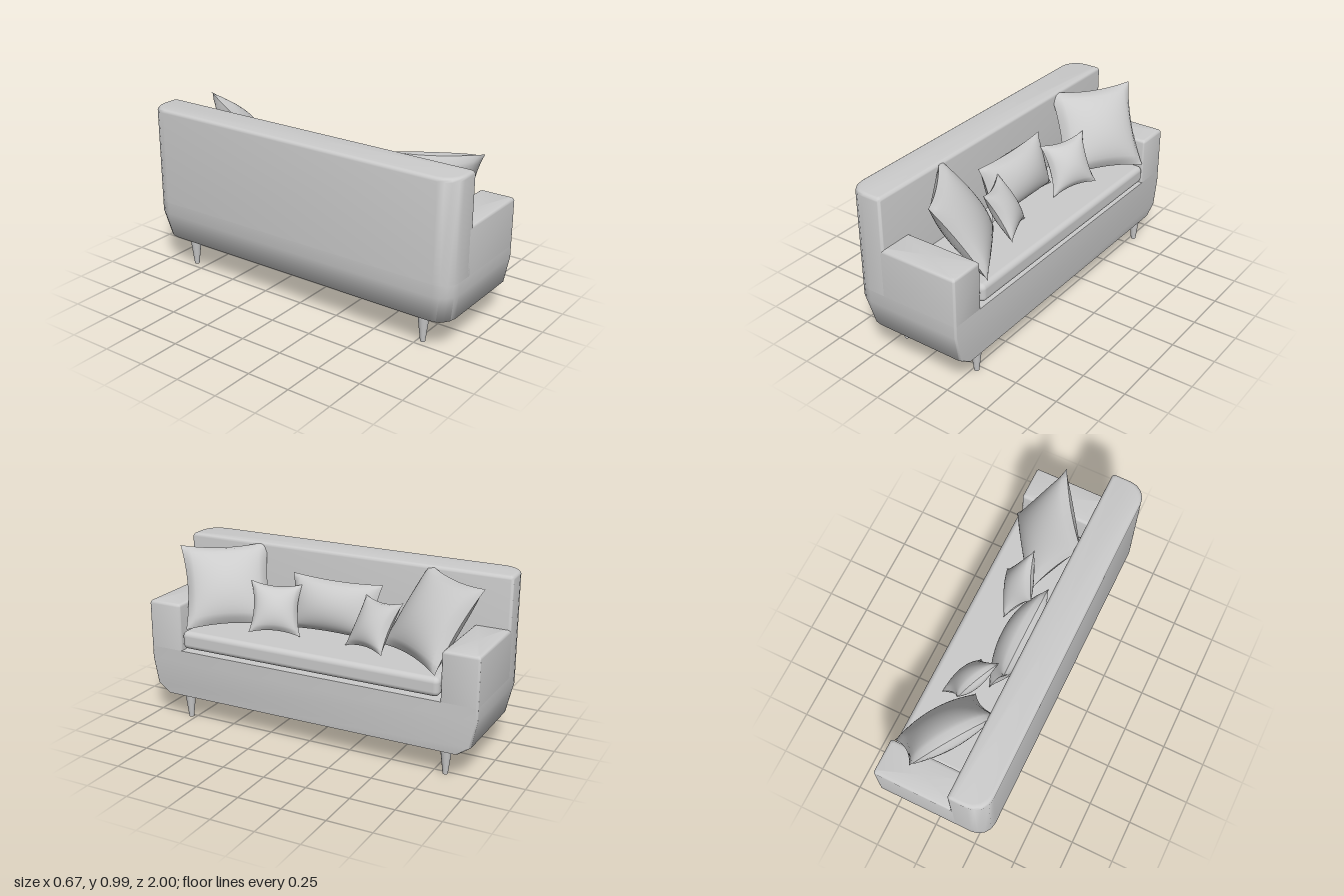
import * as THREE from 'three';
import { mergeGeometries, toCreasedNormals } from 'three/addons/utils/BufferGeometryUtils.js';
import { RoundedBoxGeometry } from 'three/addons/geometries/RoundedBoxGeometry.js';

const material = new THREE.MeshStandardMaterial({ color: 0xcccccc });

function addMesh(parent, name, geometry) {
  const mesh = new THREE.Mesh(geometry, material);
  mesh.name = name;
  parent.add(mesh);
  return mesh;
}

// Rounded rectangle in plan; rb / rf are the corner radii at the back (-x) and front (+x).
function outline([x0, x1, z0, z1], rb, rf) {
  const corners = [
    [x1 - rf, z1 - rf, rf, 0], [x0 + rb, z1 - rb, rb, 1],
    [x0 + rb, z0 + rb, rb, 2], [x1 - rf, z0 + rf, rf, 3],
  ];
  const points = [];
  for (const [cx, cz, r, quarter] of corners) {
    for (let i = 0; i <= 4; i++) {
      const a = (quarter + i / 4) * Math.PI / 2;
      points.push([cx + r * Math.cos(a), cz + r * Math.sin(a)]);
    }
  }
  return points;
}

// Closed solid through stacked plan outlines: levels are [y, plan].
function loft(levels, rb, rf) {
  const rings = levels.map(([y, plan]) => outline(plan, rb, rf).map(([x, z]) => [x, y, z]));
  const n = rings[0].length;
  const pos = [];
  const tri = (...p) => p.forEach((q) => pos.push(...q));
  const middle = ([y, [x0, x1, z0, z1]]) => [(x0 + x1) / 2, y, (z0 + z1) / 2];
  const last = rings.length - 1;
  for (let i = 0; i < n; i++) {
    const j = (i + 1) % n;
    for (let k = 0; k < last; k++) {
      tri(rings[k][i], rings[k + 1][i], rings[k][j]);
      tri(rings[k][j], rings[k + 1][i], rings[k + 1][j]);
    }
    tri(middle(levels[0]), rings[0][i], rings[0][j]);
    tri(middle(levels[last]), rings[last][j], rings[last][i]);
  }
  const geometry = new THREE.BufferGeometry();
  geometry.setAttribute('position', new THREE.Float32BufferAttribute(pos, 3));
  return toCreasedNormals(geometry, 0.95);
}

// Upright block whose top edge is rounded by shrinking the plan.
function softBlock(plan, bottom, top, round, rb, rf) {
  const levels = [[bottom, plan]];
  for (let i = 0; i <= 4; i++) {
    const a = i / 4 * Math.PI / 2;
    const d = round * (1 - Math.cos(a));
    const [x0, x1, z0, z1] = plan;
    levels.push([top - round + round * Math.sin(a), [x0 + d, x1 - d, z0 + d, z1 - d]]);
  }
  return loft(levels, rb, rf);
}

// Stuffed pillow set by its centre, full width and height vectors; seams pinch in between the corners.
function pillow(centre, width, height, thickness, pinch) {
  const c = new THREE.Vector3(...centre);
  const w = new THREE.Vector3(...width).multiplyScalar(0.5);
  const h = new THREE.Vector3(...height).multiplyScalar(0.5);
  const normal = w.clone().cross(h).normalize();
  const sides = [1, -1].map((side) => {
    const g = new THREE.PlaneGeometry(2, 2, 20, 20);
    const p = g.attributes.position;
    for (let i = 0; i < p.count; i++) {
      const u = p.getX(i), v = p.getY(i);
      const fu = Math.max(0, 1 - u * u), fv = Math.max(0, 1 - v * v);
      const point = c.clone()
        .addScaledVector(w, side * u * (1 - pinch * fv))
        .addScaledVector(h, v * (1 - pinch * fu))
        .addScaledVector(normal, side * thickness / 2 * Math.pow(fu * fv, 0.55));
      p.setXYZ(i, point.x, point.y, point.z);
    }
    g.computeVertexNormals();
    return g;
  });
  return mergeGeometries(sides);
}

export function createModel() {
  const sofa = new THREE.Group();
  sofa.name = 'sofa';

  // Base, tapering in towards the underside at the back and both ends
  addMesh(sofa, 'base', loft([
    [0.145, [-0.22, 0.32, -0.9, 0.9]],
    [0.195, [-0.31, 0.32, -0.97, 0.97]],
    [0.35, [-0.34, 0.32, -1, 1]],
    [0.42, [-0.34, 0.32, -1, 1]],
  ], 0.1, 0.012));

  // Backrest with large rounded rear corners
  addMesh(sofa, 'backrest', softBlock([-0.34, -0.13, -1, 1], 0.42, 0.99, 0.02, 0.1, 0.015));

  // Armrests
  for (const s of [1, -1]) {
    const z = [0.795 * s, s].sort((a, b) => a - b);
    addMesh(sofa, s > 0 ? 'leftArmrest' : 'rightArmrest',
      softBlock([-0.17, 0.32, ...z], 0.42, 0.697, 0.018, 0.012, 0.012));
  }

  // Seat cushion
  addMesh(sofa, 'seatCushion', new RoundedBoxGeometry(0.48, 0.105, 1.57, 4, 0.03))
    .position.set(0.086, 0.49, 0);

  // Tapered legs
  for (const x of [-0.207, 0.27]) {
    for (const z of [0.78, -0.82]) {
      addMesh(sofa, 'leg', new THREE.CylinderGeometry(0.033, 0.014, 0.16, 16))
        .position.set(x, 0.08, z);
    }
  }

  // Pillows: a large and a small one leaning at each end, a long one in the middle
  for (const s of [1, -1]) {
    const z = (v) => s * v - (s < 0 ? 0.018 : 0);
    addMesh(sofa, 'largePillow',
      pillow([0.08, 0.775, z(0.622)], [0.28, -0.01, 0.42 * s], [-0.22, 0.42, 0.17 * s], 0.2, 0.1));
    addMesh(sofa, 'smallPillow',
      pillow([0.1, 0.69, z(0.295)], [0.11, 0.02, 0.27 * s], [-0.14, 0.26, 0.06 * s], 0.13, 0.16));
  }
  addMesh(sofa, 'middlePillow',
    pillow([-0.04, 0.705, 0], [0, 0, 0.56], [-0.09, 0.3, 0], 0.19, 0.09));

  return sofa;
}
